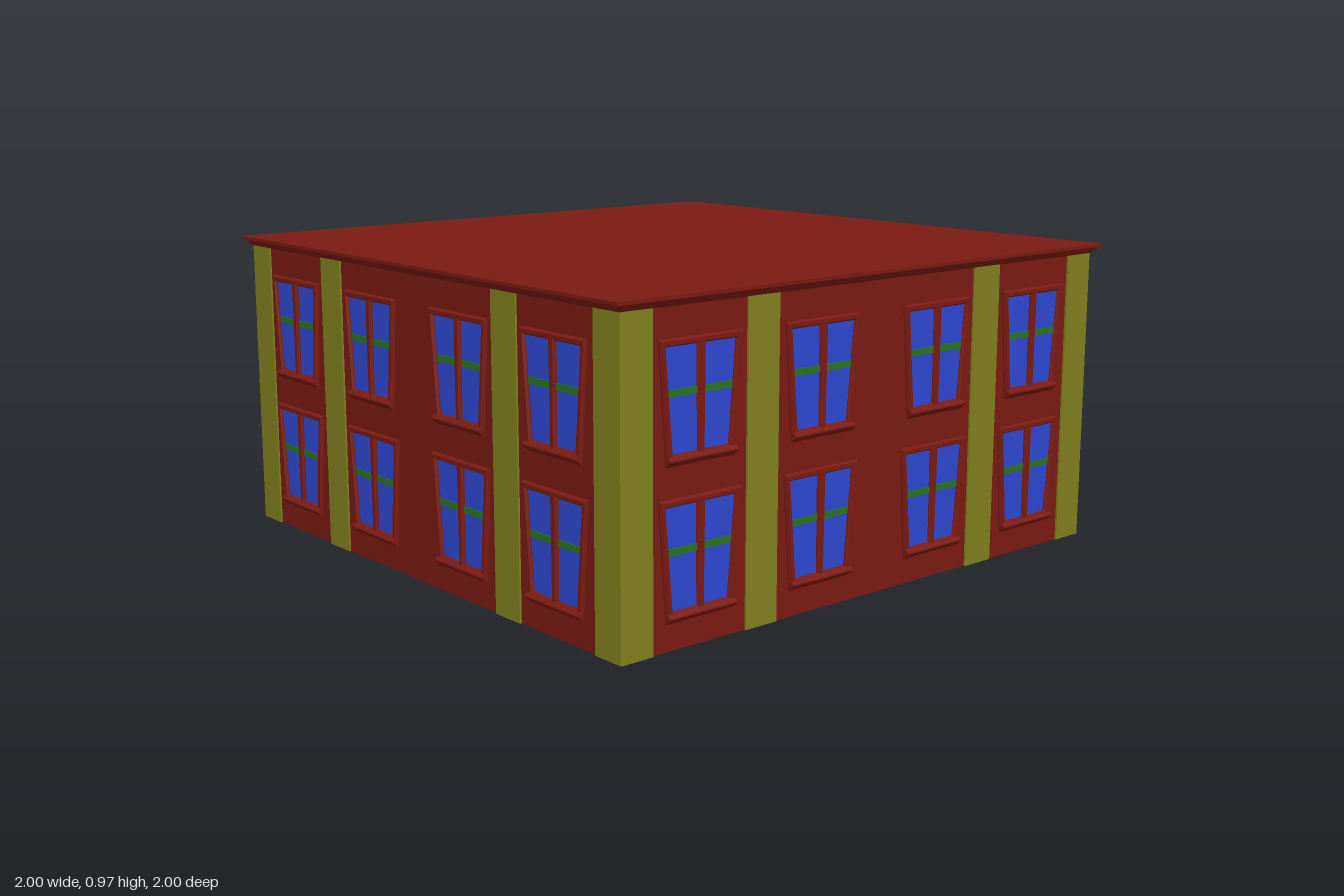
import * as THREE from 'three';

const mat = (color) => new THREE.MeshStandardMaterial({ color, flatShading: true });

const WALL = 0.967; // half width of the walls
const EAVES = 0.937; // height of the walls

export function createModel() {
  const brick = mat(0x7a1a12), stone = mat(0x7f7f1e), glass = mat(0x2d48d0), green = mat(0x2a7420);
  const model = new THREE.Group();
  model.name = 'building';

  const add = (parent, name, geometry, material, x = 0, y = 0, z = 0) => {
    const mesh = new THREE.Mesh(geometry, material);
    mesh.name = name;
    mesh.position.set(x, y, z);
    parent.add(mesh);
    return mesh;
  };

  // Walls
  add(model, 'walls', new THREE.BoxGeometry(2 * WALL, EAVES, 2 * WALL), brick, 0, EAVES / 2, 0);

  // Flared cornice under a thin flat roof
  const cornice = new THREE.CylinderGeometry(0.997 * Math.SQRT2, 0.972 * Math.SQRT2, 0.022, 4);
  cornice.rotateY(Math.PI / 4);
  add(model, 'cornice', cornice, brick, 0, 0.946, 0);
  add(model, 'roof', new THREE.BoxGeometry(2, 0.01, 2), brick, 0, 0.962, 0);

  // Corner pilasters
  const cornerGeo = new THREE.BoxGeometry(0.11, EAVES, 0.11);
  for (const sx of [-1, 1])
    for (const sz of [-1, 1])
      add(model, 'cornerPilaster', cornerGeo, stone, sx * 0.918, EAVES / 2, sz * 0.918);

  // Tapered quadrilateral, listed from half widths or x limits
  const quad = (Type, bl, br, tr, tl, y0, y1) =>
    new Type([[bl, y0], [br, y0], [tr, y1], [tl, y1]].map(([x, y]) => new THREE.Vector2(x, y)));

  // Bevelled window frame with two openings; origin at the foot of the glass
  const frameShape = quad(THREE.Shape, -0.121, 0.121, 0.146, -0.146, -0.014, 0.312);
  frameShape.holes.push(
    quad(THREE.Path, -0.1, -0.011, -0.014, -0.125, 0.003, 0.291),
    quad(THREE.Path, 0.011, 0.1, 0.125, 0.014, 0.003, 0.291),
  );
  const frameGeo = new THREE.ExtrudeGeometry(frameShape, {
    depth: 0.004, bevelThickness: 0.008, bevelSize: 0.005, bevelOffset: -0.005, bevelSegments: 1,
  });
  const glassGeo = new THREE.ShapeGeometry(quad(THREE.Shape, -0.11, 0.11, 0.133, -0.133, 0, 0.3));
  const barGeo = new THREE.BoxGeometry(0.225, 0.02, 0.006);

  // Wedge-shaped sill, profile drawn as (depth, height)
  const sillProfile = new THREE.Shape(
    [[-0.01, -0.03], [0.003, -0.03], [0.023, -0.013], [0.023, -0.009], [0.012, 0], [-0.01, 0]]
      .map(([z, y]) => new THREE.Vector2(z, y)),
  );
  const sillGeo = new THREE.ExtrudeGeometry(sillProfile, { depth: 0.242, bevelEnabled: false });
  sillGeo.translate(0, 0, -0.121).rotateY(-Math.PI / 2);

  const addWindow = (side, x, y) => {
    const win = new THREE.Group();
    win.name = 'window';
    win.position.set(x, y, WALL);
    add(win, 'frame', frameGeo, brick, 0, 0, 0.001);
    add(win, 'glass', glassGeo, glass, 0, 0, 0.002);
    add(win, 'glazingBar', barGeo, green, 0, 0.167, 0.002);
    add(win, 'sill', sillGeo, brick);
    side.add(win);
  };

  // Four identical sides
  const pilasterGeo = new THREE.BoxGeometry(0.117, EAVES, 0.02);
  for (let i = 0; i < 4; i++) {
    const side = new THREE.Group();
    side.name = 'facade';
    side.rotation.y = (i * Math.PI) / 2;
    for (const x of [-0.469, 0.464]) add(side, 'pilaster', pilasterGeo, stone, x, EAVES / 2, 0.963);
    for (const x of [-0.697, -0.24, 0.24, 0.69])
      for (const y of [0.108, 0.538]) addWindow(side, x, y);
    model.add(side);
  }
  return model;
}
